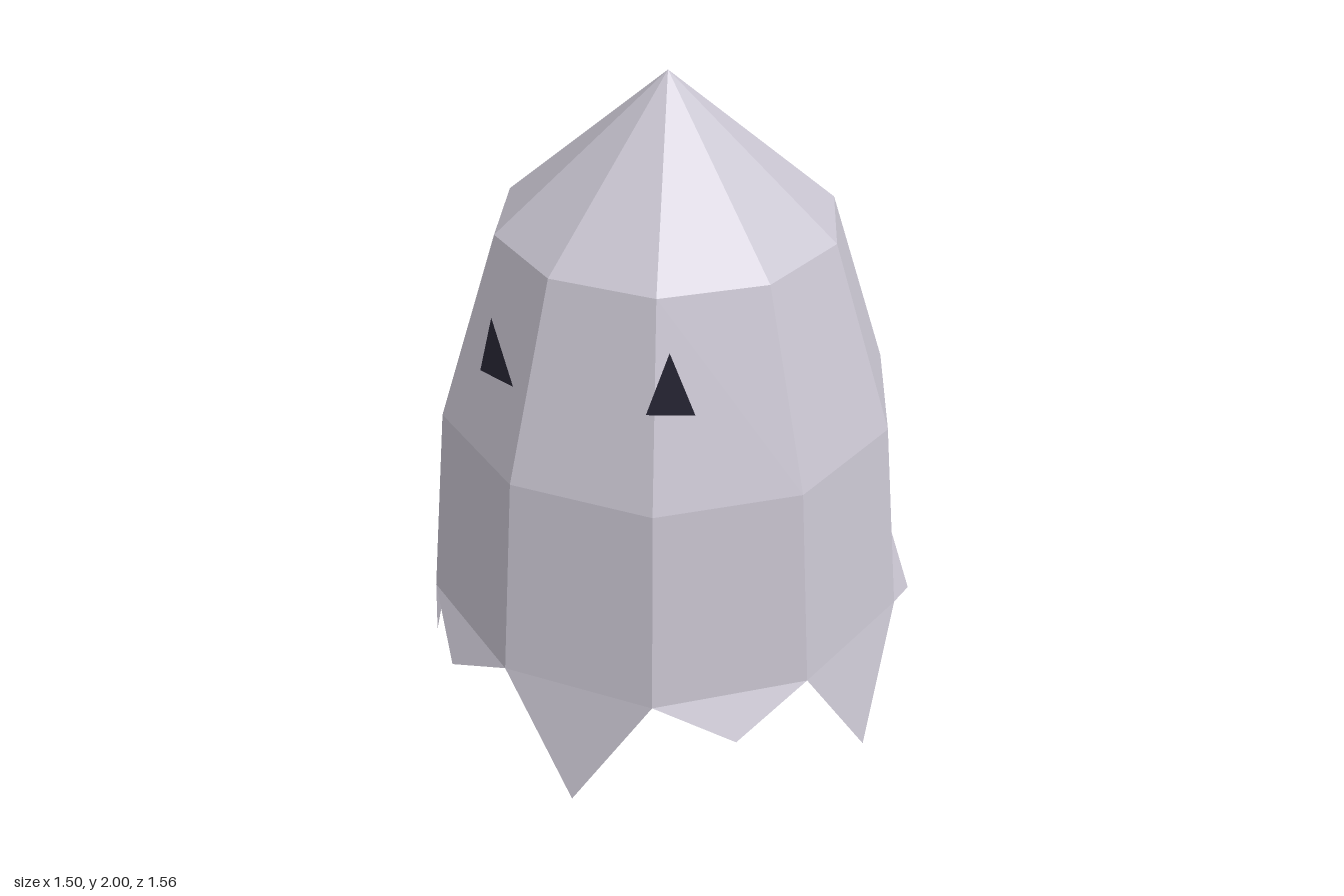
import * as THREE from 'three';

const SIDES = 10;
const STEP = (Math.PI * 2) / SIDES;

// Point on a ring around the vertical axis, angle measured from +x towards +z
const ringPoint = (radius, y, angle) => [radius * Math.cos(angle), y, radius * Math.sin(angle)];

function triangles(points) {
  const geometry = new THREE.BufferGeometry();
  geometry.setAttribute('position', new THREE.Float32BufferAttribute(points.flat(), 3));
  geometry.computeVertexNormals();
  return geometry;
}

function addPart(group, name, geometry, material) {
  const mesh = new THREE.Mesh(geometry, material);
  mesh.name = name;
  group.add(mesh);
}

export function createModel() {
  const group = new THREE.Group();
  group.name = 'ghost';

  const cloth = new THREE.MeshStandardMaterial({ color: 0xc8c4d0, flatShading: true, side: THREE.DoubleSide });
  cloth.name = 'pale grey cloth';
  const dark = new THREE.MeshStandardMaterial({ color: 0x2a2838, flatShading: true, side: THREE.DoubleSide });
  dark.name = 'dark eyes';

  // Ten-sided hollow shroud, open at the bottom
  const profile = [[0.75, 0.38], [0.685, 1.0], [0.5, 1.565], [0, 2]].map(([r, y]) => new THREE.Vector2(r, y));
  addPart(group, 'shroud', new THREE.LatheGeometry(profile, SIDES, Math.PI / 2), cloth);

  // Ragged hem: one point per side, alternately long and short
  const hem = [];
  for (let i = 0; i < SIDES; i++) {
    const a = i * STEP;
    const tipY = i % 2 === 0 ? 0 : 0.255;
    hem.push(
      ringPoint(0.75, 0.38, a),
      ringPoint(0.75, 0.38, a + STEP),
      ringPoint(0.78, tipY, a + STEP / 2),
    );
  }
  addPart(group, 'raggedHem', triangles(hem), cloth);

  // Flat triangular eyes floating just in front of the face
  for (const s of [1, -1]) {
    const corners = [[s * 0.19, 1.315, 0.64], [s * 0.31, 1.315, 0.595], [s * 0.25, 1.505, 0.625]];
    if (s < 0) corners.reverse();
    addPart(group, s > 0 ? 'leftEye' : 'rightEye', triangles(corners), dark);
  }

  return group;
}
